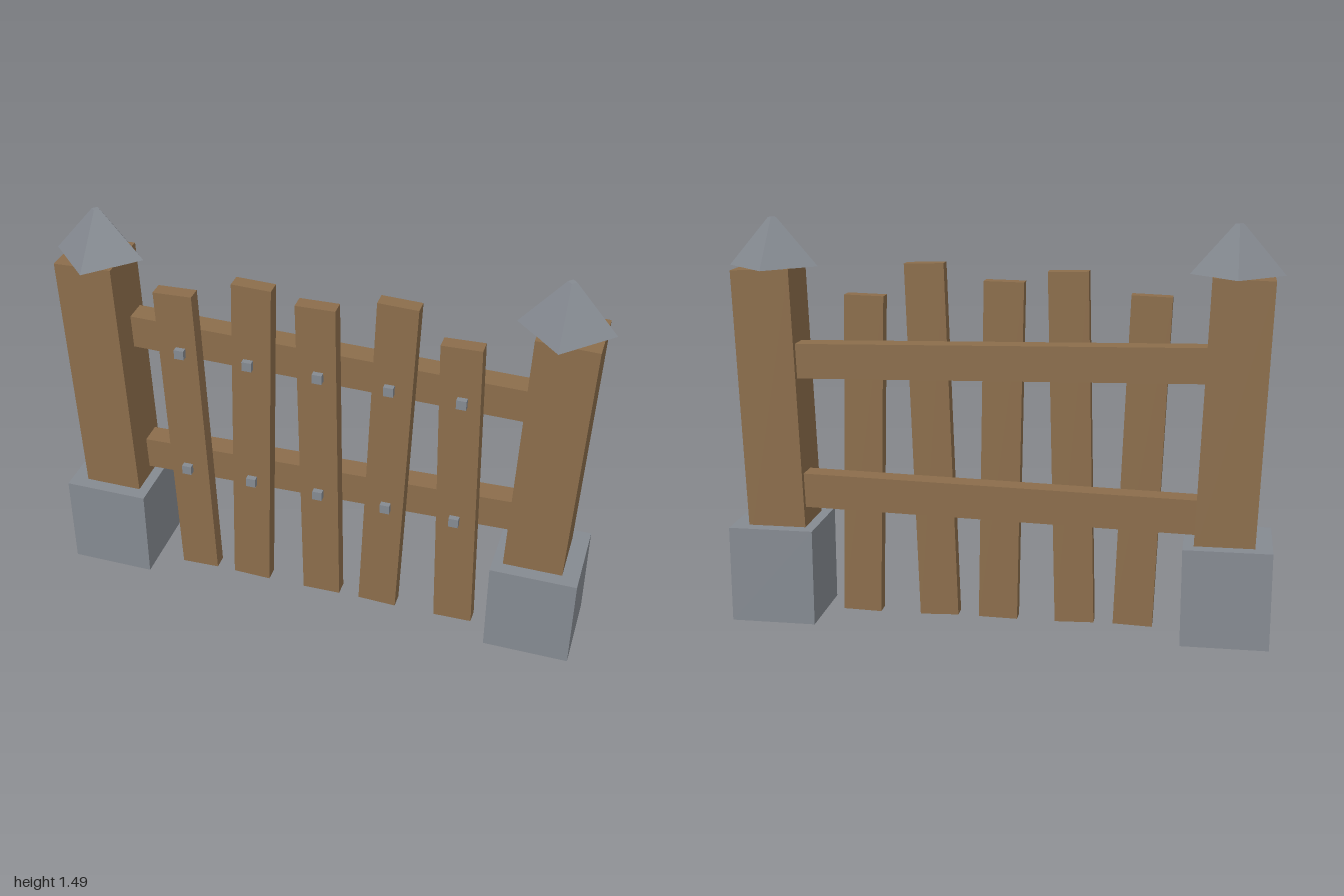
import * as THREE from 'three';

export function createModel() {
  const fence = new THREE.Group();
  fence.name = 'fence';

  const material = (name, color) => {
    const m = new THREE.MeshStandardMaterial({ color });
    m.name = name;
    m.flatShading = true;
    return m;
  };
  const wood = material('wood', 0x8b6d4b);
  const stone = material('stone', 0x858a91);

  const add = (name, geometry, mat, x, y, z, tilt = 0) => {
    const mesh = new THREE.Mesh(geometry, mat);
    mesh.name = name;
    mesh.position.set(x, y, z);
    mesh.rotation.z = tilt;
    fence.add(mesh);
    return mesh;
  };
  const box = (w, h, d) => new THREE.BoxGeometry(w, h, d);

  // Gate posts: stone footing, outward-leaning post, four-sided cap
  for (const [side, s] of [['left', 1], ['right', -1]]) {
    add(side + 'Footing', box(0.315, 0.36, 0.315), stone, s * 0.83, 0.18, 0);
    add(side + 'Post', box(0.215, 1.01, 0.216), wood, s * 0.834, 0.805, 0, -s * 0.035);
    add(side + 'Cap', new THREE.CylinderGeometry(0.015, 0.165, 0.175, 4), stone, s * 0.83, 1.4, 0);
  }

  // Crooked rails, ends buried in the posts
  add('upperRail', box(1.58, 0.127, 0.085), wood, 0, 0.992, -0.0425, -0.018);
  add('lowerRail', box(1.58, 0.127, 0.085), wood, 0, 0.477, -0.0425, 0.026);

  // Pickets: centre x at the bottom, centre x at the top, height
  const pickets = [
    [-0.493, -0.537, 1.23],
    [-0.277, -0.241, 1.31],
    [0.010, -0.012, 1.27],
    [0.233, 0.278, 1.33],
    [0.531, 0.500, 1.21],
  ];
  const nailX = [-0.517, -0.26, 0, 0.258, 0.515];
  pickets.forEach(([x0, x1, h], i) => {
    const tilt = Math.atan2(x0 - x1, h);
    add('picket' + (i + 1), box(0.145, h - 0.004, 0.055), wood, (x0 + x1) / 2, h / 2 + 0.002, 0.0365, tilt);
    // Nail heads where the picket crosses each rail
    for (const y of [0.48, 0.997]) {
      add('nail', box(0.036, 0.036, 0.035), stone, nailX[i], y, 0.068);
    }
  });

  return fence;
}
